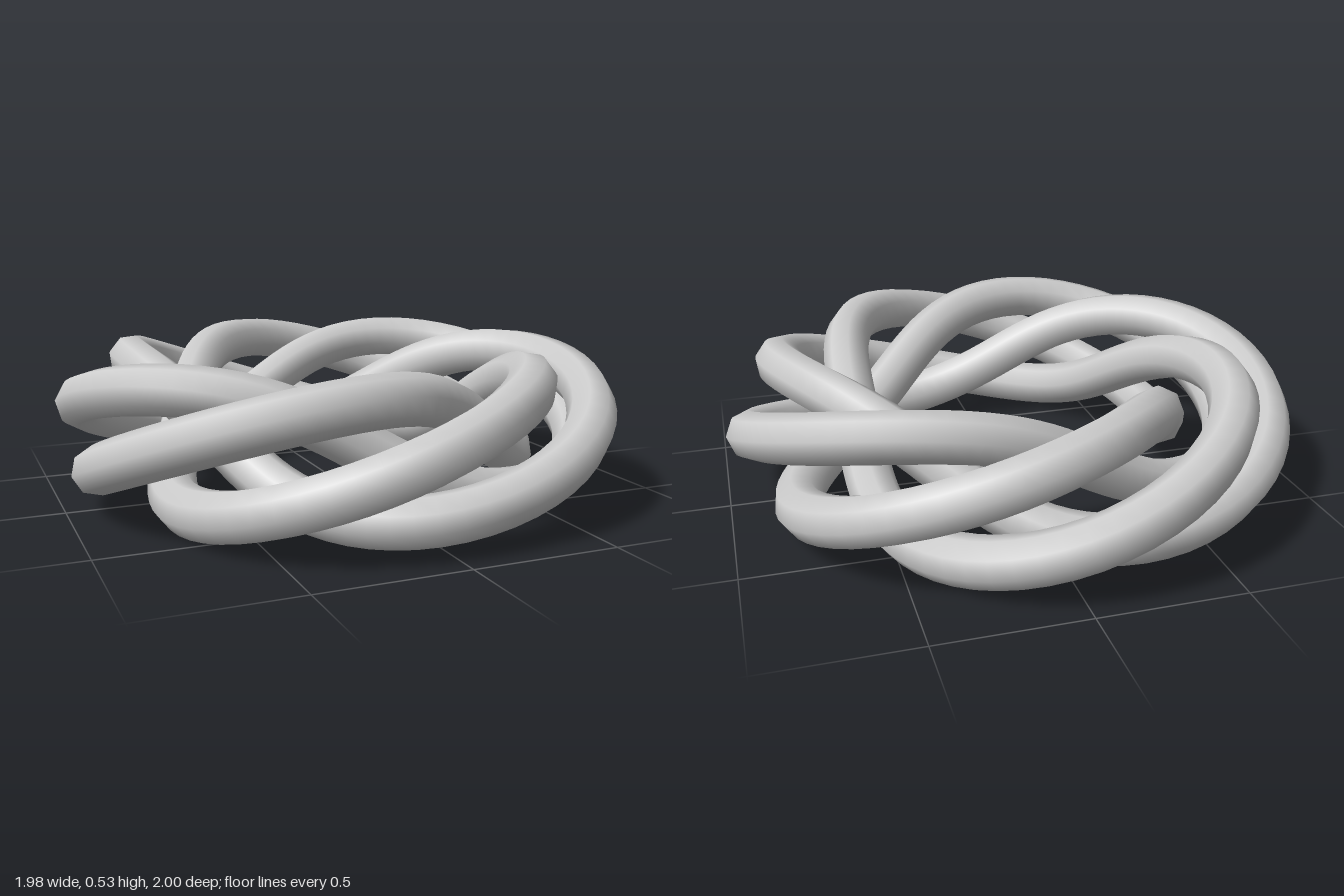
import * as THREE from 'three';
import { ParametricGeometry } from 'three/addons/geometries/ParametricGeometry.js';

const AROUND = 4;      // trips around the ring
const WINDS = 7;       // winds around the ring's core
const RING = 0.739, CORE = 0.186, TUBE = 0.084;

// Centre line of the strand, u from 0 to 1
function centreLine(u) {
  const theta = u * AROUND * Math.PI * 2;
  const phi = Math.PI / 2 - u * WINDS * Math.PI * 2;
  const r = RING + CORE * Math.cos(phi);
  return new THREE.Vector3(r * Math.cos(theta), CORE * Math.sin(phi), r * Math.sin(theta));
}

// Eight-sided tube swept along the centre line
function strandSurface(u, v, target) {
  const p = centreLine(u);
  const tangent = centreLine(u + 1e-4).sub(centreLine(u - 1e-4)).normalize();
  const side = new THREE.Vector3().crossVectors(tangent, p).normalize();
  const out = new THREE.Vector3().crossVectors(side, tangent);
  const a = v * Math.PI * 2;
  target.copy(p)
    .addScaledVector(out, TUBE * Math.cos(a))
    .addScaledVector(side, -TUBE * Math.sin(a));
}

export function createModel() {
  const model = new THREE.Group();
  model.name = 'torusKnot';
  const strand = new THREE.Mesh(
    new ParametricGeometry(strandSurface, 320, 8),
    new THREE.MeshStandardMaterial({ color: 0xcccccc })
  );
  strand.name = 'knotStrand';
  strand.position.set(-0.0175, CORE + TUBE, 0);
  model.add(strand);
  return model;
}
